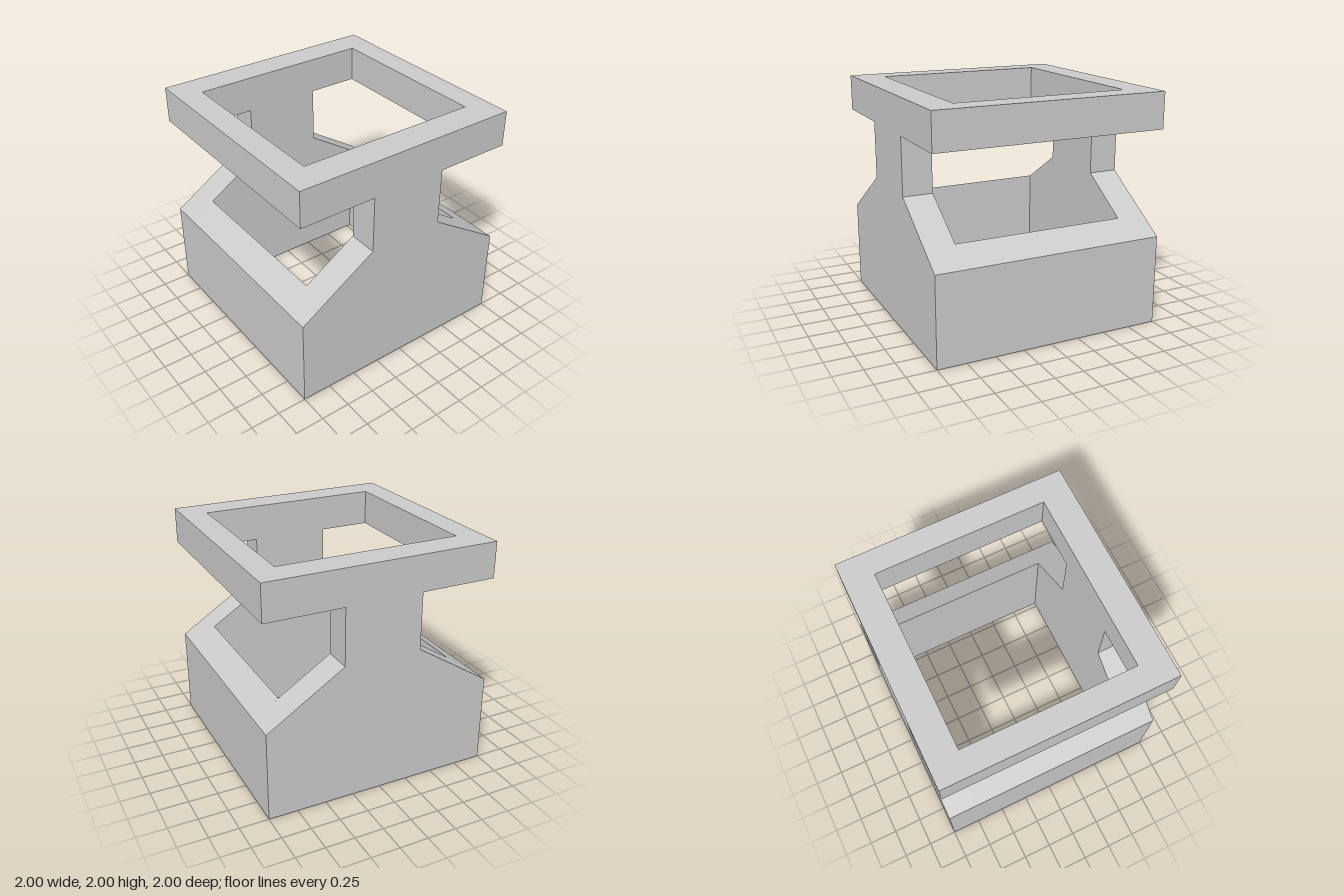
import * as THREE from 'three';

const INNER_X = 0.745, INNER_Z = 0.787;      // half size of the vertical opening
const NECK_Z = 0.336, NECK_Y = 1.2;          // waist of the side walls
const SHOULDER_Y = 0.775, RING_Y = 1.69, TOP_Y = 2;
const SLOPE_Y = SHOULDER_Y + (NECK_Y - SHOULDER_Y) * (1 - INNER_Z) / (1 - NECK_Z);

export function createModel() {
  const group = new THREE.Group();
  const material = new THREE.MeshStandardMaterial({ color: 0xcccccc, flatShading: true });

  // Extrude a [z, y] profile along x, centred on the given x
  function addProfile(name, points, width, x) {
    const shape = new THREE.Shape(points.map(([z, y]) => new THREE.Vector2(z, y)));
    const geometry = new THREE.ExtrudeGeometry(shape, { depth: width, bevelEnabled: false });
    geometry.rotateY(-Math.PI / 2);
    geometry.translate(x + width / 2, 0, 0);
    const mesh = new THREE.Mesh(geometry, material);
    mesh.name = name;
    group.add(mesh);
  }

  // Side walls: wide base, sloped shoulders, narrow neck and full-depth top
  const half = [[1, 0], [1, SHOULDER_Y], [NECK_Z, NECK_Y], [NECK_Z, RING_Y], [1, RING_Y], [1, TOP_Y]];
  const wall = [...half, ...half.map(([z, y]) => [-z, y]).reverse()];
  for (const [side, name] of [[1, 'leftWall'], [-1, 'rightWall']]) {
    addProfile(name, wall, 1 - INNER_X, side * (1 + INNER_X) / 2);
  }

  // Front and back: sloped base wall and upper beam between the side walls
  for (const [s, name] of [[1, 'front'], [-1, 'back']]) {
    const base = [[INNER_Z, 0], [1, 0], [1, SHOULDER_Y], [INNER_Z, SLOPE_Y]];
    const beam = [[INNER_Z, RING_Y], [1, RING_Y], [1, TOP_Y], [INNER_Z, TOP_Y]];
    addProfile(name + 'BaseWall', base.map(([z, y]) => [s * z, y]), 2 * INNER_X, 0);
    addProfile(name + 'TopBeam', beam.map(([z, y]) => [s * z, y]), 2 * INNER_X, 0);
  }
  return group;
}
